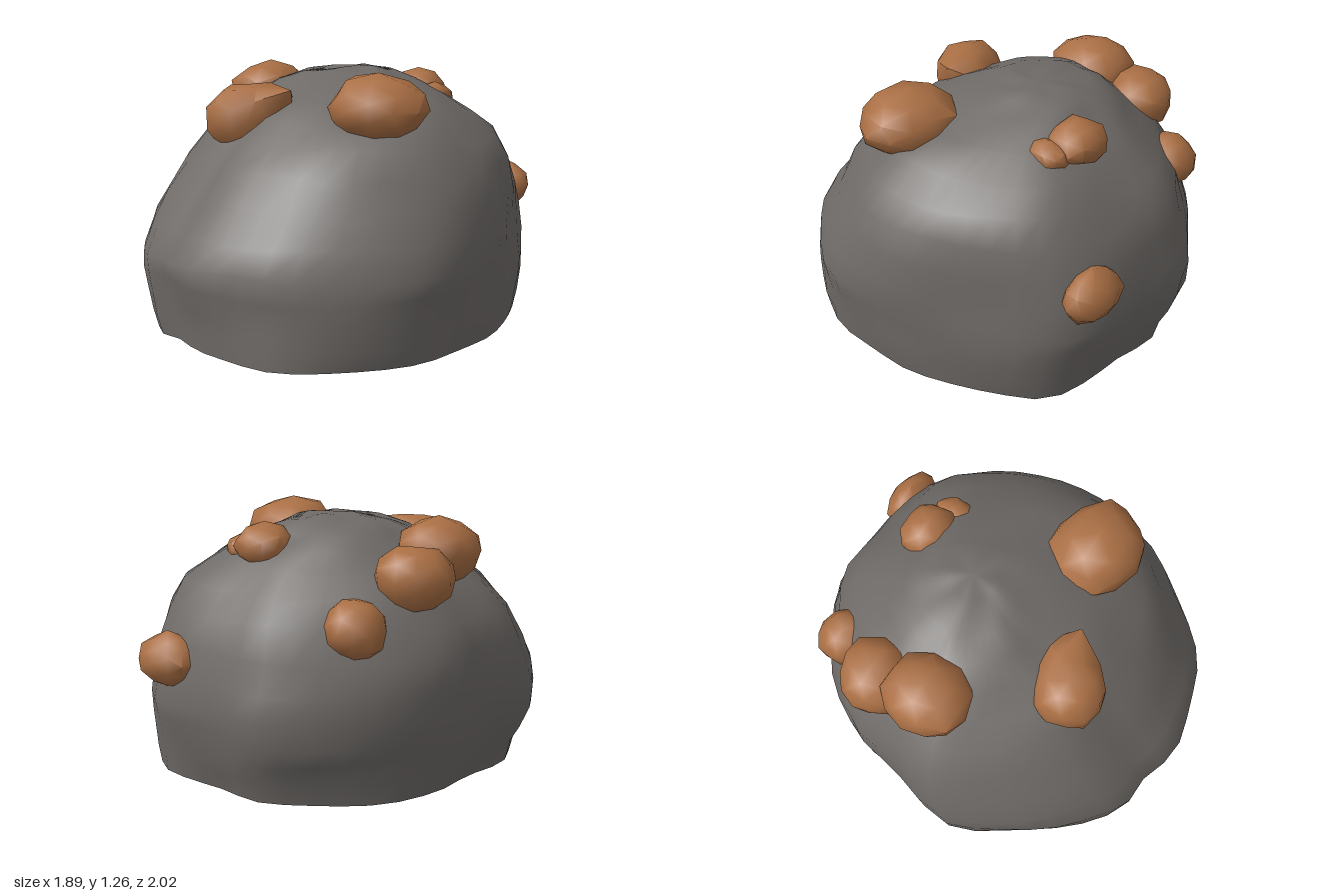
import * as THREE from 'three';
import { mergeVertices, toCreasedNormals } from 'three/addons/utils/BufferGeometryUtils.js';

const stone = new THREE.MeshStandardMaterial({ color: 0x6e6a67 });
stone.name = 'grey stone';
const ore = new THREE.MeshStandardMaterial({ color: 0xaa6f44 });
ore.name = 'copper ore';

// Plan outline of the boulder at its widest, as x, z pairs
const OUTLINE = [
  [-0.22, -0.98], [0.02, -0.97], [0.25, -0.95], [0.5, -0.85], [0.64, -0.67], [0.8, -0.4],
  [0.9, -0.2], [0.94, 0], [0.93, 0.28], [0.79, 0.56], [0.55, 0.83], [0.38, 0.92], [0.05, 1],
  [-0.18, 0.95], [-0.33, 0.96], [-0.6, 0.77], [-0.8, 0.53], [-0.94, 0.25], [-0.88, -0.08],
  [-0.86, -0.3], [-0.7, -0.6], [-0.42, -0.87],
];

// Cross-sections of the boulder: y, x min, x max, z min, z max
const LEVELS = [
  [0, -0.81, 0.89, -0.87, 0.95],
  [0.1, -0.84, 0.91, -0.9, 0.96],
  [0.2, -0.88, 0.92, -0.94, 0.97],
  [0.3, -0.92, 0.935, -0.97, 0.99],
  [0.4, -0.935, 0.945, -0.985, 1],
  [0.52, -0.945, 0.925, -0.96, 0.92],
  [0.66, -0.92, 0.89, -0.91, 0.81],
  [0.8, -0.86, 0.845, -0.86, 0.71],
  [0.92, -0.77, 0.77, -0.77, 0.6],
  [1.02, -0.66, 0.64, -0.66, 0.48],
  [1.1, -0.54, 0.48, -0.56, 0.34],
  [1.17, -0.44, 0.28, -0.47, 0.2],
  [1.215, -0.33, 0.16, -0.39, 0.08],
  [1.235, -0.16, 0.07, -0.28, -0.06],
];
const SIDES = 44;

function boulderBody() {
  const curve = new THREE.CatmullRomCurve3(
    OUTLINE.map(([x, z]) => new THREE.Vector3(x / 0.94, 0, z / 0.99)), true, 'centripetal');
  const ring = curve.getSpacedPoints(SIDES).slice(0, SIDES);
  const pos = [], index = [];
  LEVELS.forEach(([y, x0, x1, z0, z1], i) => {
    const cx = (x0 + x1) / 2, cz = (z0 + z1) / 2;
    ring.forEach((p, j) => {
      // Gentle lumps all round
      const a = (j / SIDES) * Math.PI * 2;
      const lump = 0.007 * (Math.sin(5 * a + y * 9) + Math.sin(9 * a - y * 13 + 1));
      // Fuller diagonals at the foot, and up the back left
      const corner = (2 * p.x * p.z / (p.x * p.x + p.z * p.z)) ** 2;
      const spread = p.z < 0 ? 0.07 : p.x > 0 ? 0.05 : 0.02;
      const foot = spread * Math.max(0, 1 - y / 0.4);
      const rear = p.x > 0 && p.z < 0 ? (y > 0.6 ? 0.05 : 0.02) : 0;
      const k = 0.995 + lump + corner * (foot + rear);
      const dy = i ? 0.012 * Math.sin(4 * a + i * 2.1) * (y < 1.1 ? 1 : 0.5) : 0;
      pos.push(cx + p.x * k * (x1 - x0) / 2, y + dy, cz + p.z * k * (z1 - z0) / 2);
    });
  });
  const top = pos.length / 3;
  pos.push(-0.03, 1.243, -0.18);
  for (let i = 0; i < LEVELS.length; i++) {
    for (let j = 0; j < SIDES; j++) {
      const n = (j + 1) % SIDES, a = i * SIDES + j, b = i * SIDES + n;
      if (i === LEVELS.length - 1) index.push(a, top, b);
      else index.push(a, a + SIDES, b, b, a + SIDES, b + SIDES);
    }
  }
  const body = new THREE.BufferGeometry();
  body.setAttribute('position', new THREE.Float32BufferAttribute(pos, 3));
  body.setIndex(index);
  body.computeVertexNormals();

  // Flat underside sharing the foot of the body
  const base = new THREE.BufferGeometry();
  base.setAttribute('position', new THREE.Float32BufferAttribute([...pos.slice(0, SIDES * 3), 0, 0, 0], 3));
  const fan = [];
  for (let j = 0; j < SIDES; j++) fan.push(SIDES, j, (j + 1) % SIDES);
  base.setIndex(fan);
  base.computeVertexNormals();
  return [body, base];
}

function seeded(seed) {
  let s = seed * 7919 + 17;
  return () => (s = (s * 16807) % 2147483647) / 2147483647;
}

// Rough nugget: a ball with jittered corners, and a corner pulled out along `pull`
function nuggetGeometry(seed, size, pull, amount) {
  const rand = seeded(seed);
  rand();
  let geo = new THREE.IcosahedronGeometry(1, 1);
  geo.deleteAttribute('normal');
  geo.deleteAttribute('uv');
  geo = mergeVertices(geo, 1e-3);
  const p = geo.attributes.position, v = new THREE.Vector3();
  const dir = new THREE.Vector3(...pull).normalize();
  for (let i = 0; i < p.count; i++) {
    v.fromBufferAttribute(p, i).normalize();
    const near = Math.max(0, v.dot(dir)) ** 6;
    v.multiplyScalar(0.92 + rand() * 0.16 + amount * near);
    p.setXYZ(i, v.x * size[0], v.y * size[1], v.z * size[2]);
  }
  return toCreasedNormals(geo, 1);
}

// Nuggets: name, centre, half sizes, direction and strength of the pulled corner
const NUGGETS = [
  ['frontLeftNugget', [0.475, 1.09, 0.19], [0.25, 0.15, 0.23], [0, 1, 0.1], 0.14],
  ['frontNugget', [-0.18, 1.01, 0.46], [0.175, 0.17, 0.18], [1, 0.5, -0.6], 0.75],
  ['rightNugget', [-0.585, 1.085, -0.05], [0.195, 0.165, 0.22], [0.2, 1, 0.1], 0.04],
  ['rightRearNugget', [-0.635, 0.995, -0.32], [0.18, 0.15, 0.18], [0.7, 0.3, -0.7], 0.2],
  ['backRightNugget', [-0.52, 0.795, -0.62], [0.135, 0.145, 0.14], [0.7, 0.3, -0.5], 0.15],
  ['topNugget', [0.075, 1.1, -0.52], [0.15, 0.11, 0.135], [0, 1, 0], 0],
  ['topSmallNugget', [0.225, 1.075, -0.48], [0.085, 0.075, 0.11], [0.5, 0, 0.6], 0.1],
  ['backNugget', [0.36, 0.585, -0.89], [0.165, 0.13, 0.11], [-0.1, 1, 0.5], 0.1],
];

export function createModel() {
  const group = new THREE.Group();
  group.name = 'oreBoulder';
  const add = (name, geo, mat) => {
    const mesh = new THREE.Mesh(geo, mat);
    mesh.name = name;
    group.add(mesh);
    return mesh;
  };
  const [body, base] = boulderBody();
  add('boulder', body, stone);
  add('boulderUnderside', base, stone);
  NUGGETS.forEach(([name, at, size, pull, amount], i) =>
    add(name, nuggetGeometry(i + 3, size, pull, amount), ore).position.set(...at));
  return group;
}
